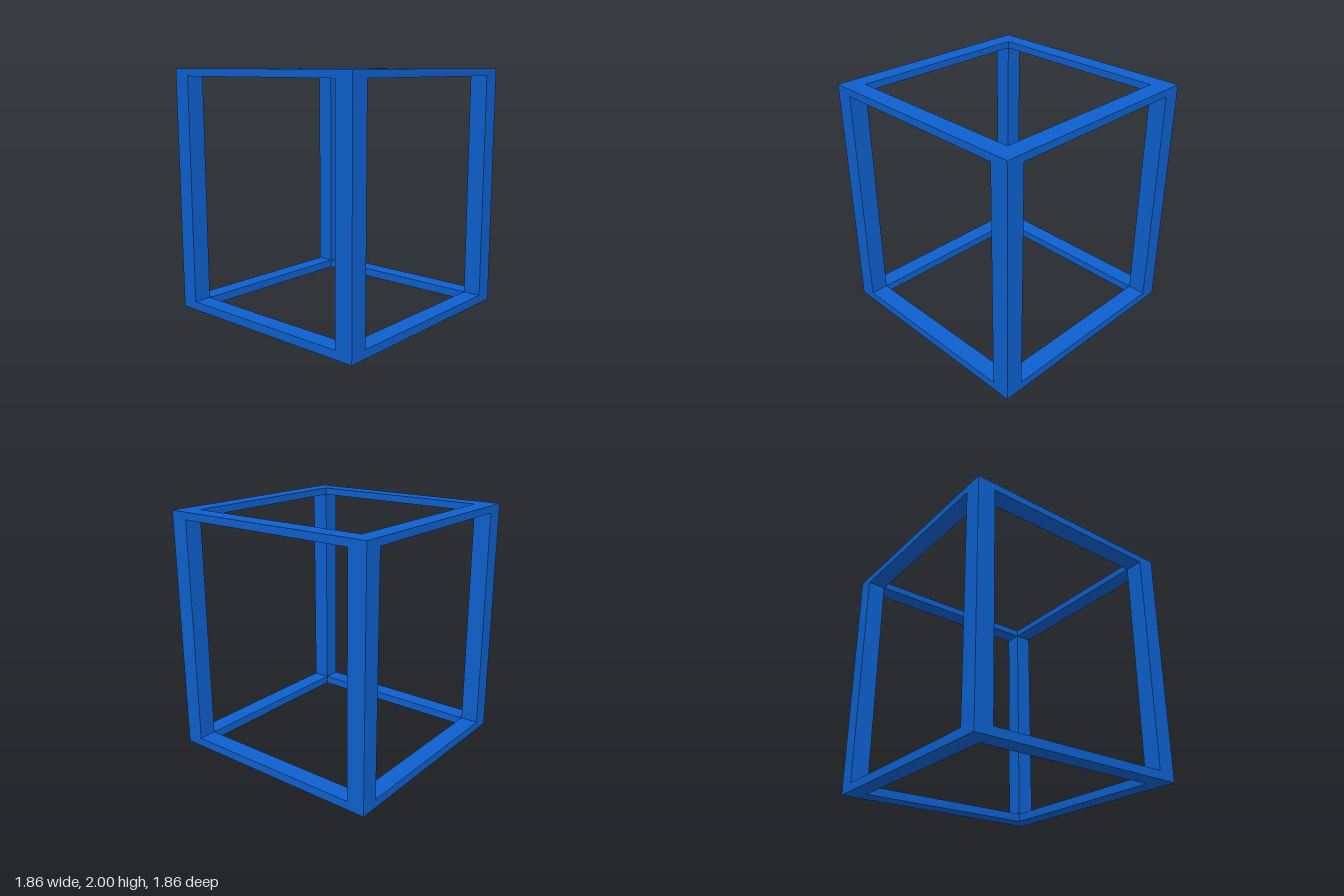
import * as THREE from 'three';

const OUTER = 0.93, INNER = 0.78, HEIGHT = 2;
const BASE = 0.07, TOP = 0.06; // ring thicknesses

// Square outline of half-width r
function square(Type, r) {
  const s = new Type();
  s.moveTo(-r, -r);
  s.lineTo(r, -r);
  s.lineTo(r, r);
  s.lineTo(-r, r);
  s.closePath();
  return s;
}

export function createModel() {
  const model = new THREE.Group();
  model.name = 'openFrame';
  const blue = new THREE.MeshStandardMaterial({ color: 0x0d60cd });
  blue.name = 'blue';

  // Flat square ring lying on height y
  function addRing(name, y, depth) {
    const shape = square(THREE.Shape, OUTER);
    shape.holes.push(square(THREE.Path, INNER));
    const geometry = new THREE.ExtrudeGeometry(shape, { depth, bevelEnabled: false });
    geometry.rotateX(-Math.PI / 2);
    const ring = new THREE.Mesh(geometry, blue);
    ring.name = name;
    ring.position.y = y;
    model.add(ring);
  }
  addRing('bottomRing', 0, BASE);
  addRing('topRing', HEIGHT - TOP, TOP);

  // Corner posts between the rings
  const width = OUTER - INNER, length = HEIGHT - BASE - TOP;
  const postGeometry = new THREE.BoxGeometry(width, length, width);
  const centre = (OUTER + INNER) / 2;
  for (const x of [1, -1]) {
    for (const z of [1, -1]) {
      const post = new THREE.Mesh(postGeometry, blue);
      post.name = (z > 0 ? 'front' : 'back') + (x > 0 ? 'Left' : 'Right') + 'Post';
      post.position.set(x * centre, BASE + length / 2, z * centre);
      model.add(post);
    }
  }
  return model;
}
